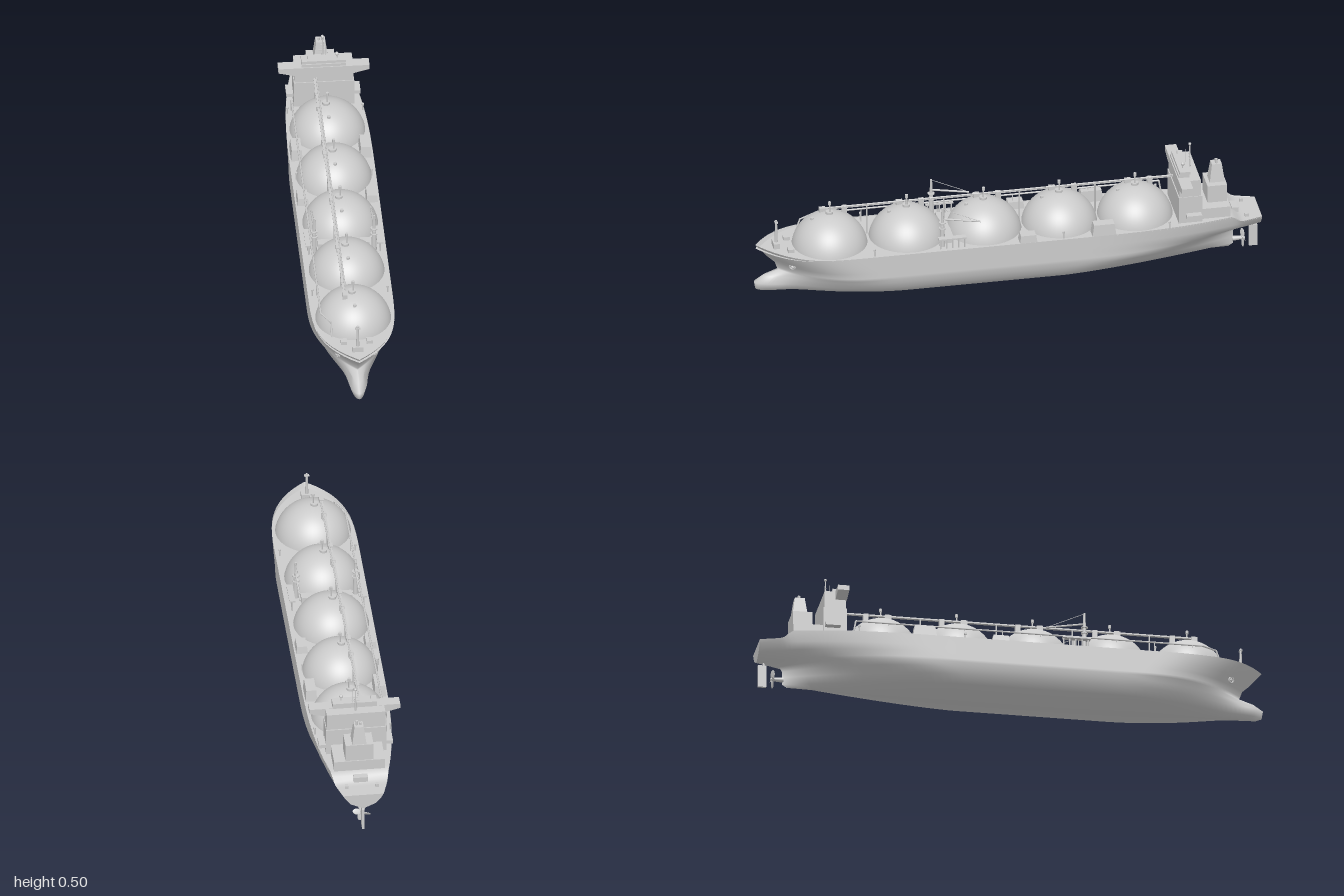
import * as THREE from 'three';
import { mergeVertices } from 'three/addons/utils/BufferGeometryUtils.js';

const V = (x, y, z) => new THREE.Vector3(x, y, z);
const smooth = THREE.MathUtils.smoothstep;
const mat = new THREE.MeshStandardMaterial({ color: 0xcccccc });
const matDouble = new THREE.MeshStandardMaterial({ color: 0xcccccc, side: THREE.DoubleSide });

const keelY = z => 0.018 * smooth(Math.abs(z), 0.15, 0.95);
const rimY = z => 0.212 + 0.011 * smooth(z, 0.72, 0.99) - 0.03 * (1 - smooth(z, -0.92, -0.87));

// Waterlines, keel to rim: height, half beam; stern = end, its half width, start of taper, power;
// bow = start of taper, end, power; bulb = half width, end
const waterlines = [
  { y: keelY, beam: 0, stern: [-0.88, 0, -0.2, 1], bow: [0.4, 0.97, 1] },
  { y: () => 0.03, beam: 0.125, stern: [-0.9, 0, -0.2, 1.4], bow: [0.4, 0.92, 1.9], bulb: [0.03, 0.995] },
  { y: () => 0.06, beam: 0.149, stern: [-0.9, 0, -0.25, 1.5], bow: [0.4, 0.93, 2.3], bulb: [0.04, 1] },
  { y: () => 0.085, beam: 0.158, stern: [-0.9, 0, -0.25, 2.1], bow: [0.44, 0.92, 2.3], bulb: [0.026, 0.965] },
  { y: () => 0.105, beam: 0.165, stern: [-0.91, 0, -0.25, 2.5], bow: [0.5, 0.905, 2.5] },
  { y: () => 0.117, beam: 0.165, stern: [-1, 0, -0.25, 2.2], bow: [0.5, 0.91, 2.6] },
  { y: () => 0.14, beam: 0.165, stern: [-1, 0.05, -0.25, 2.3], bow: [0.5, 0.918, 2.8] },
  { y: () => 0.168, beam: 0.165, stern: [-1, 0.072, -0.25, 2.5], bow: [0.5, 0.948, 3.6] },
  { y: rimY, beam: 0.165, stern: [-1, 0.078, -0.25, 2.9], bow: [0.5, 0.995, 4.2] },
];

function halfWidth({ beam, stern: [s0, w0, s1, sp], bow: [b0, b1, bp], bulb }, z) {
  if (z < s1) return beam - (beam - w0) * Math.min(1, (s1 - z) / (s1 - s0)) ** sp;
  if (z < b0) return beam;
  const w = beam * (1 - Math.min(1, (z - b0) / (b1 - b0)) ** bp);
  if (!bulb) return w;
  const u = THREE.MathUtils.clamp((z - 0.88) / (bulb[1] - 0.88), 0, 1);
  const b = bulb[0] * smooth(z, 0.65, 0.9) * Math.sqrt(1 - u * u);
  return Math.cbrt(w ** 3 + b ** 3);
}

// Points of one waterline, closer together towards the ends
function trace(line, n) {
  const z0 = line.stern[0], z1 = line.bulb ? line.bulb[1] : line.bow[1];
  return Array.from({ length: n + 1 }, (_, i) => {
    const z = THREE.MathUtils.lerp(z0, z1, (1 - Math.cos(Math.PI * i / n)) / 2);
    return V(halfWidth(line, z), line.y(z), z);
  });
}

// Surface through rows of points
function grid(rows) {
  const n = rows[0].length, idx = [];
  for (let i = 0; i < rows.length - 1; i++) for (let j = 0; j < n - 1; j++) {
    const a = i * n + j, b = a + n;
    idx.push(a, b, a + 1, b, b + 1, a + 1);
  }
  let g = new THREE.BufferGeometry().setFromPoints(rows.flat());
  g.setIndex(idx);
  g = mergeVertices(g, 1e-5);
  g.computeVertexNormals();
  return g;
}

export function createModel() {
  const ship = new THREE.Group();
  ship.name = 'gasCarrier';
  const add = (name, geo, x = 0, y = 0, z = 0, m = mat) => {
    const o = new THREE.Mesh(geo, m);
    o.name = name;
    o.position.set(x, y, z);
    ship.add(o);
    return o;
  };
  // Box given by its ranges
  const box = (name, x0, x1, y0, y1, z0, z1) =>
    add(name, new THREE.BoxGeometry(x1 - x0, y1 - y0, z1 - z0), (x0 + x1) / 2, (y0 + y1) / 2, (z0 + z1) / 2);
  // Upright cylinder from y0 to y1
  const post = (name, x, y0, y1, z, r, rTop = r, n = 10) =>
    add(name, new THREE.CylinderGeometry(rTop, r, y1 - y0, n), x, (y0 + y1) / 2, z);
  // Straight rod between two points
  const rod = (name, a, b, r) => {
    const o = add(name, new THREE.CylinderGeometry(r, r, a.distanceTo(b), 8));
    o.position.copy(a).lerp(b, 0.5);
    o.quaternion.setFromUnitVectors(V(0, 1, 0), b.clone().sub(a).normalize());
  };
  // Block with a smaller top
  const taper = (name, w, h, d, k, x, y, z) => {
    const g = new THREE.BoxGeometry(w, h, d), p = g.attributes.position;
    for (let i = 0; i < p.count; i++) if (p.getY(i) > 0) p.setXYZ(i, p.getX(i) * k, p.getY(i), p.getZ(i) * k);
    g.computeVertexNormals();
    add(name, g, x, y + h / 2, z);
  };

  // Hull, deck and transom
  const lines = waterlines.map(l => trace(l, 80));
  const flip = v => V(-v.x, v.y, v.z);
  const rings = lines[0].map((_, i) => {
    const half = lines.map(l => l[i]);
    return [...half.slice().reverse(), ...half.slice(1).map(flip)];
  });
  add('hull', grid(rings), 0, 0, 0, matDouble);
  const rim = lines[lines.length - 1];
  add('deck', grid(rim.map(v => [-1, 1].map(s => V(s * v.x, Math.min(v.y - 0.003, 0.208), v.z)))));
  add('transom', grid(lines.map(l => [flip(l[0]), l[0]])), 0, 0, 0, matDouble);

  // Spherical cargo tanks with their domes, vents and hatches
  const tanks = [0.70, 0.395, 0.09, -0.21, -0.51];
  for (const z of tanks) {
    add('cargoTank', new THREE.SphereGeometry(0.15, 48, 20, 0, Math.PI * 2, 0, Math.PI * 0.46), 0, 0.182, z);
    post('tankSkirt', 0, 0.2, 0.215, z, 0.148, 0.146, 48);
    post('tankDome', -0.005, 0.322, 0.341, z, 0.015, 0.015, 16);
    post('ventMast', 0, 0.335, 0.375, z, 0.003);
    post('ventHead', 0, 0.372, 0.385, z, 0.006);
    box('pipeTower', -0.044, -0.026, 0.315, 0.343, z + 0.01, z + 0.035);
    box('pipeTower', -0.044, -0.026, 0.305, 0.341, z - 0.075, z - 0.055);
    post('tankHatch', 0, 0.3, 0.322, z + 0.068, 0.007);
  }

  // Raised pipeline over the tanks
  box('topWalkway', -0.041, -0.029, 0.334, 0.339, -0.67, 0.71);
  rod('topPipe', V(-0.03, 0.342, -0.67), V(-0.03, 0.342, 0.7), 0.003);
  for (const z of tanks.slice(1)) post('walkwaySupport', -0.035, 0.205, 0.335, z + 0.151, 0.003);

  // Side pipeline
  const bends = [V(-.13, .205, -.64), V(-.13, .265, -.63), V(-.13, .265, .74), V(-.095, .265, .8), V(-.093, .205, .82)];
  bends.slice(1).forEach((b, i) => rod('sidePipe', bends[i], b, 0.0035));
  for (let z = -0.5; z < 0.75; z += 0.15) post('pipeSupport', -0.13, 0.205, 0.265, z, 0.002);

  // Manifold between the second and third tanks
  box('manifoldPlatform', -0.1, 0.1, 0.205, 0.235, 0.228, 0.262);
  for (const s of [-1, 1]) {
    for (let i = 0; i < 5; i++) post('manifoldPost', s * 0.14, 0.205, 0.255, 0.19 + i * 0.024, 0.003);
    box('manifoldRail', s * 0.14 - 0.012, s * 0.14 + 0.012, 0.25, 0.256, 0.185, 0.295);

    // Deck crane with jib and stay
    const x = s * 0.117, z = 0.275, tip = V(x, 0.302, 0.125);
    post('cranePedestal', x, 0.205, 0.3, z, 0.011, 0.008, 12);
    post('craneMast', x, 0.3, 0.375, z, 0.007, 0.004, 12);
    for (const y of [0.285, 0.31]) post('cranePlatform', x, y, y + 0.004, z, 0.014, 0.014, 12);
    rod('craneJib', V(x, 0.328, z), tip, 0.004);
    rod('craneStay', V(x, 0.372, z), tip, 0.0012);

    // Machinery houses, winches and vents along the deck edge
    taper('machineryHouse', 0.046, 0.05, 0.095, 0.85, s * 0.135, 0.205, -0.36);
    taper('machineryHouse', 0.046, 0.033, 0.07, 0.85, s * 0.135, 0.205, -0.06);
    box('mooringWinch', s * 0.05 - 0.012, s * 0.05 + 0.012, 0.205, 0.222, 0.85, 0.875);
    for (const b of [0.55, -0.2, -0.62]) {
      post('deckVent', s * 0.148, 0.205, 0.235, b, 0.003);
      post('deckVentCap', s * 0.148, 0.232, 0.239, b, 0.005);
    }

    // Anchor pocket
    const ring = add('anchorPocket', new THREE.TorusGeometry(0.011, 0.004, 10, 20), s * 0.075, 0.153, 0.862);
    ring.lookAt(s * 0.75, -0.05, 1.3);
    add('anchor', new THREE.SphereGeometry(0.008, 12, 8), s * 0.075, 0.153, 0.86);
  }

  // Foremast
  box('foremastBase', -0.022, 0.022, 0.205, 0.23, 0.9, 0.925);
  post('foremast', 0, 0.22, 0.325, 0.912, 0.007, 0.004);
  box('foremastYard', -0.01, 0.01, 0.314, 0.318, 0.906, 0.918);

  // Accommodation tower and bridge
  box('accommodation', -0.118, 0.118, 0.205, 0.322, -0.755, -0.662);
  box('upperAccommodation', -0.115, 0.115, 0.322, 0.392, -0.75, -0.666);
  const wings = new THREE.Shape([[-.178, .393], [-.178, .373], [-.12, .358], [.12, .358], [.178, .373], [.178, .393]]
    .map(([x, y]) => new THREE.Vector2(x, y)));
  add('bridgeWings', new THREE.ExtrudeGeometry(wings, { depth: 0.045, bevelEnabled: false }), 0, 0, -0.708);
  box('wheelhouse', -0.087, 0.087, 0.392, 0.405, -0.71, -0.667);
  box('wheelhouseRoof', -0.087, 0.087, 0.405, 0.417, -0.714, -0.672);
  post('radarMast', 0, 0.39, 0.487, -0.728, 0.004, 0.002);
  add('mastLight', new THREE.SphereGeometry(0.006, 12, 8), 0, 0.492, -0.728);
  for (const [y, r] of [[0.428, 0.017], [0.44, 0.015], [0.453, 0.009]]) box('radarYard', -r, r, y, y + 0.002, -0.73, -0.726);
  post('aerial', 0.008, 0.417, 0.475, -0.71, 0.001);
  post('domeStand', 0.052, 0.39, 0.43, -0.69, 0.002);
  add('antennaDome', new THREE.SphereGeometry(0.0075, 14, 10), 0.052, 0.436, -0.69);
  post('aerial', -0.063, 0.417, 0.431, -0.69, 0.002);

  // Engine casing, funnel and aft deck fittings
  box('aftHouse', -0.1, 0.1, 0.2, 0.252, -0.87, -0.755);
  box('engineCasing', -0.055, 0.055, 0.25, 0.325, -0.866, -0.788);
  taper('funnel', 0.056, 0.075, 0.06, 0.65, 0, 0.325, -0.832);
  box('sternWinch', -0.028, 0.028, 0.178, 0.203, -0.915, -0.89);
  for (const s of [-1, 1]) {
    post('exhaustPipe', s * 0.007, 0.395, 0.415 + s * 0.004, -0.832, 0.005);
    box('lifeboatDavit', s * 0.125 - 0.02, s * 0.125 + 0.02, 0.235, 0.25, -0.75, -0.69);
    box('sternBollard', s * 0.06 - 0.006, s * 0.06 + 0.006, 0.178, 0.192, -0.95, -0.935);
  }

  // Propeller and rudder
  const hub = add('propellerHub', new THREE.CylinderGeometry(0.007, 0.01, 0.05, 14), 0, 0.05, -0.92);
  hub.rotation.x = -Math.PI / 2;
  for (let i = 0; i < 4; i++) {
    const arm = new THREE.Group();
    arm.name = 'propellerBlade';
    arm.position.set(0, 0.05, -0.937);
    arm.rotation.z = i * Math.PI / 2 + 0.3;
    const blade = new THREE.Mesh(new THREE.SphereGeometry(1, 14, 10), mat);
    blade.name = 'blade';
    blade.scale.set(0.012, 0.018, 0.002);
    blade.position.y = 0.019;
    blade.rotation.y = 0.6;
    arm.add(blade);
    ship.add(arm);
  }
  box('rudder', -0.005, 0.005, 0.013, 0.105, -0.995, -0.962);
  post('rudderStock', 0, 0.09, 0.14, -0.972, 0.005);
  return ship;
}
